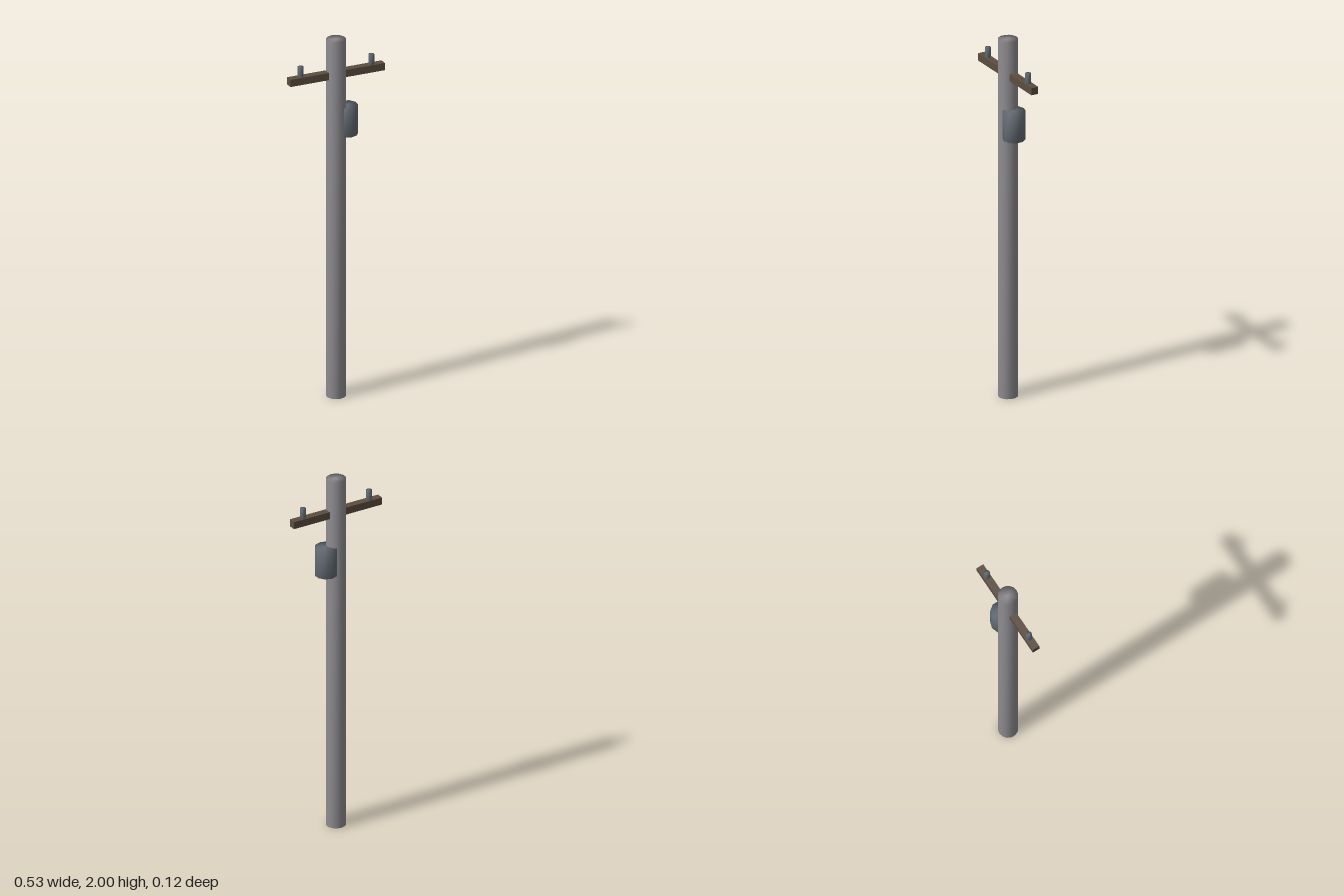
import * as THREE from 'three';
import { mergeVertices } from 'three/addons/utils/BufferGeometryUtils.js';

const material = (color) => new THREE.MeshStandardMaterial({ color });

// Cylinder whose caps and wall share normals, giving soft shaded rims
function softCylinder(radius, height, sides) {
  const raw = new THREE.CylinderGeometry(radius, radius, height, sides);
  raw.deleteAttribute('normal');
  raw.deleteAttribute('uv');
  const geometry = mergeVertices(raw);
  geometry.computeVertexNormals();
  return geometry;
}

export function createModel() {
  const model = new THREE.Group();
  model.name = 'utilityPole';

  const wood = material(0x8e8c90);
  const brown = material(0x5c4d40);
  const metal = material(0x646c74);

  function add(name, geometry, mat, x, y, z = 0) {
    const mesh = new THREE.Mesh(geometry, mat);
    mesh.name = name;
    mesh.position.set(x, y, z);
    model.add(mesh);
  }

  // Upright
  add('pole', softCylinder(0.053, 2, 14), wood, 0, 1);

  // Crossarm passing through the pole
  add('crossarm', new THREE.BoxGeometry(0.534, 0.04, 0.04), brown, 0, 1.805);

  // Insulators standing on the crossarm
  for (const side of [-1, 1]) {
    add(side > 0 ? 'leftInsulator' : 'rightInsulator',
      softCylinder(0.016, 0.06, 8), metal, side * 0.2, 1.85);
  }

  // Transformer can sunk into the left side of the pole
  add('transformer', softCylinder(0.06, 0.16, 10), metal, 0.06, 1.54);

  return model;
}
